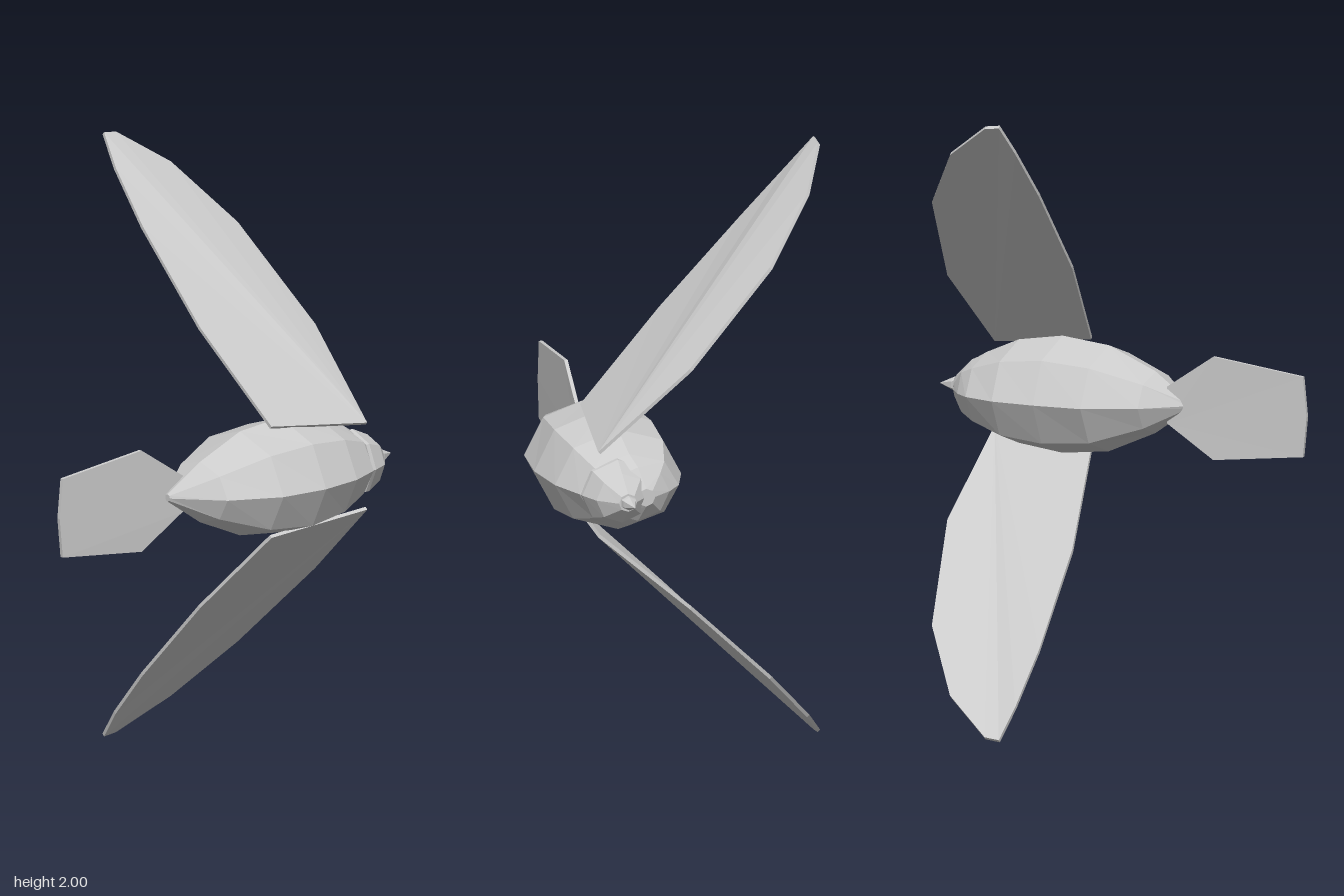
import * as THREE from 'three';

const material = new THREE.MeshStandardMaterial({ color: 0xcccccc, flatShading: true });

function makeMesh(name, triangles) {
  const geometry = new THREE.BufferGeometry();
  geometry.setAttribute('position', new THREE.Float32BufferAttribute(triangles.flat(2), 3));
  geometry.computeVertexNormals();
  const mesh = new THREE.Mesh(geometry, material);
  mesh.name = name;
  return mesh;
}

// Closed faceted loft along x; each section is [x, centre z, half depth z, half height y]
function loft(name, sections, sides) {
  const rings = sections.map(([x, zc, rz, ry]) =>
    Array.from({ length: sides }, (_, j) => {
      const a = (j / sides) * Math.PI * 2;
      return [x, 1 + ry * Math.cos(a), zc + rz * Math.sin(a)];
    }));
  const triangles = [];
  for (let i = 0; i < rings.length - 1; i++) {
    for (let j = 0; j < sides; j++) {
      const k = (j + 1) % sides;
      const [a, b, c, d] = [rings[i][j], rings[i][k], rings[i + 1][k], rings[i + 1][j]];
      triangles.push([a, b, c], [a, c, d]);
    }
  }
  const first = rings[0], last = rings[rings.length - 1];
  for (let j = 1; j < sides - 1; j++) {
    triangles.push([first[0], first[j + 1], first[j]], [last[0], last[j], last[j + 1]]);
  }
  return makeMesh(name, triangles);
}

// Thin slab: counter-clockwise outline seen from +z, thickened along the offset vector.
// The faces fan out from the first outline point.
function slab(name, outline, offset, mirror = false) {
  const shift = (p, s) => p.map((v, i) => v + s * offset[i]);
  const top = outline.map((p) => shift(p, 0.5));
  const under = outline.map((p) => shift(p, -0.5));
  const triangles = [];
  const n = outline.length;
  for (let i = 1; i < n - 1; i++) {
    triangles.push([top[0], top[i], top[i + 1]], [under[0], under[i + 1], under[i]]);
  }
  for (let i = 0; i < n; i++) {
    const k = (i + 1) % n;
    triangles.push([under[i], under[k], top[k]], [under[i], top[k], top[i]]);
  }
  if (!mirror) return makeMesh(name, triangles);
  // Reflect across y = 1 and reverse the corner order
  return makeMesh(name, triangles.map((t) => t.map(([x, y, z]) => [x, 2 - y, z]).reverse()));
}

export function createModel() {
  const model = new THREE.Group();
  model.name = 'flyingBird';

  // Plump eight-sided body, tail end to neck
  model.add(loft('body', [
    [-0.235, 0.24, 0.012, 0.012],
    [-0.11, 0.252, 0.138, 0.1],
    [0.055, 0.253, 0.218, 0.172],
    [0.22, 0.257, 0.228, 0.19],
    [0.37, 0.25, 0.21, 0.168],
    [0.48, 0.245, 0.165, 0.12],
    [0.53, 0.23, 0.105, 0.09],
    [0.572, 0.215, 0.03, 0.03],
  ], 8));

  // Head and beak
  model.add(loft('head', [
    [0.48, 0.287, 0.12, 0.11],
    [0.495, 0.287, 0.118, 0.11],
    [0.555, 0.29, 0.086, 0.082],
    [0.605, 0.285, 0.03, 0.03],
  ], 8));
  model.add(loft('beak', [
    [0.59, 0.285, 0.03, 0.028],
    [0.615, 0.283, 0.024, 0.022],
    [0.66, 0.278, 0.001, 0.001],
  ], 6));

  // Swept wings, mirrored across the body
  const wing = [
    [0.5, 1.14, 0.35], [0.53, 1.4, 0.055], [0.45, 1.69, -0.235], [0.31, 1.88, -0.4],
    [0.15, 1.99, -0.482], [0.1, 1.996, -0.482], [0.08, 1.9, -0.4],
    [0.067, 1.74, -0.25], [0.077, 1.46, 0.025], [0.14, 1.18, 0.305],
  ];
  const wingOffset = [0, 0.008, 0.008];
  model.add(slab('upperWing', wing, wingOffset));
  model.add(slab('lowerWing', wing, wingOffset, true));

  // Flat tail fan
  model.add(slab('tail', [
    [-0.165, 0.94, 0.226], [-0.165, 1.06, 0.226], [-0.33, 1.17, 0.219], [-0.65, 1.13, 0.21],
    [-0.663, 1, 0.21], [-0.65, 0.87, 0.21], [-0.33, 0.835, 0.219],
  ], [0, 0, 0.012]));

  return model;
}
